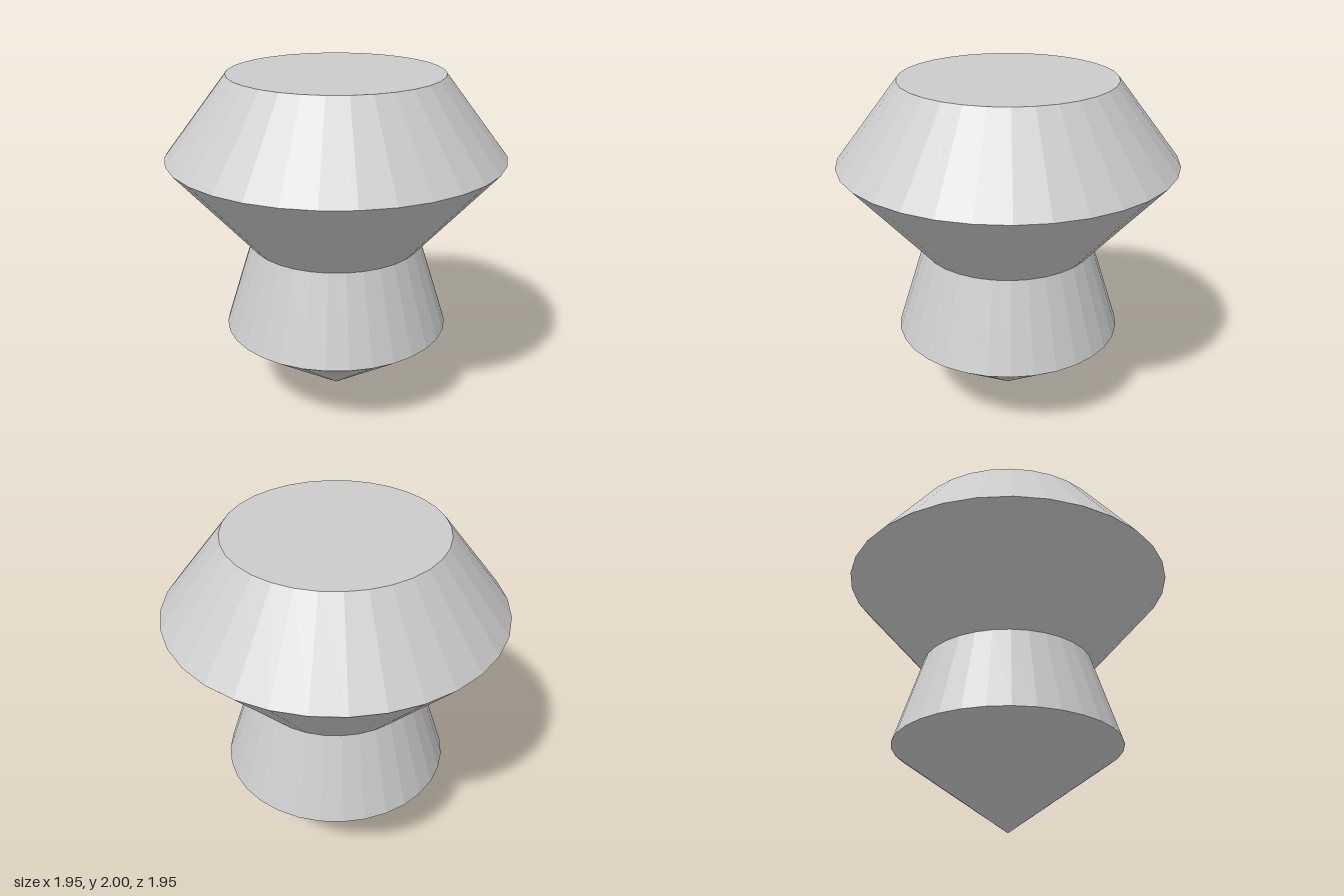
import * as THREE from 'three';

const SIDES = 32;

export function createModel() {
  const group = new THREE.Group();
  const material = new THREE.MeshStandardMaterial({ color: 0xcccccc, flatShading: true });

  // One revolved section per part: [radius, height] points from bottom to top
  const addSection = (name, ...points) => {
    const profile = points.map(([r, y]) => new THREE.Vector2(r, y));
    const mesh = new THREE.Mesh(new THREE.LatheGeometry(profile, SIDES), material);
    mesh.name = name;
    group.add(mesh);
  };

  const tip = [0, 0], base = [0.668, 0.483], waist = [0.505, 1];
  const rim = [0.975, 1.535], top = [0.615, 2];

  addSection('pointedTip', tip, base);
  addSection('neck', base, waist);
  addSection('lowerBowl', waist, rim);
  addSection('upperShoulder', rim, top);
  addSection('flatTop', top, [0, 2]);

  return group;
}
